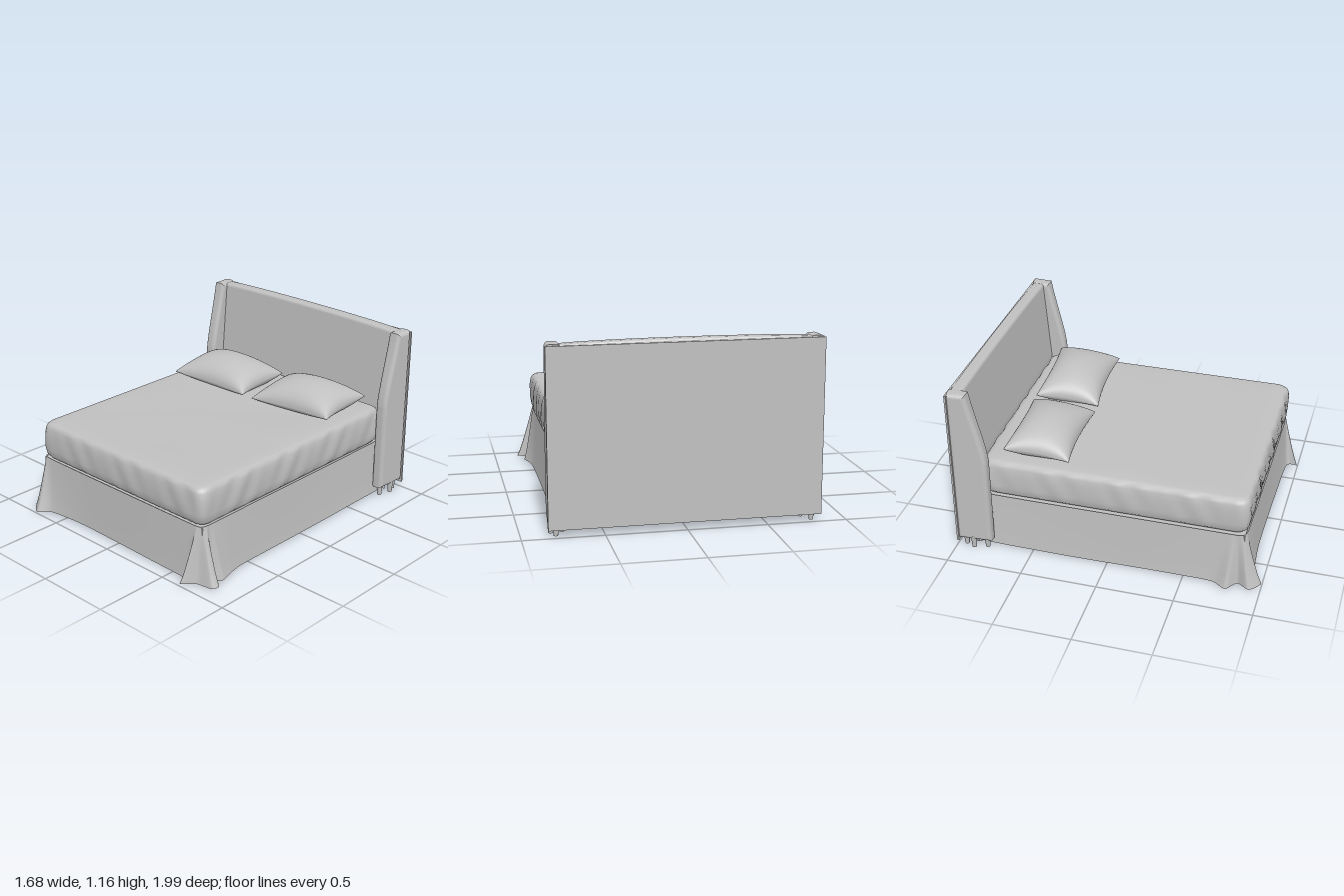
import * as THREE from 'three';
import { mergeVertices, mergeGeometries } from 'three/addons/utils/BufferGeometryUtils.js';

const fabric = new THREE.MeshStandardMaterial({ color: 0xc0c0c0 });
fabric.name = 'grey fabric';
const sheet = new THREE.MeshStandardMaterial({ color: 0xc0c0c0, side: THREE.DoubleSide });
sheet.name = 'grey cloth sheet';
const { clamp } = THREE.MathUtils;

// Smooth surface from a rule (u, v in 0..1) -> [x, y, z]
function surface(nu, nv, rule) {
  const pos = [], index = [];
  for (let j = 0; j <= nv; j++)
    for (let i = 0; i <= nu; i++) pos.push(...rule(i / nu, j / nv));
  for (let j = 0; j < nv; j++)
    for (let i = 0; i < nu; i++) {
      const a = j * (nu + 1) + i, d = a + nu + 1;
      index.push(a, a + 1, d + 1, a, d + 1, d);
    }
  let geo = new THREE.BufferGeometry();
  geo.setAttribute('position', new THREE.Float32BufferAttribute(pos, 3));
  geo.setIndex(index);
  geo = mergeVertices(geo, 1e-5);
  geo.computeVertexNormals();
  return geo;
}

// Moves every vertex of a geometry by a rule
function bend(geo, rule) {
  const p = geo.attributes.position;
  for (let i = 0; i < p.count; i++) p.setXYZ(i, ...rule(p.getX(i), p.getY(i), p.getZ(i)));
  geo.computeVertexNormals();
  return geo;
}

// Point on a rounded rectangle, u runs once round it
function roundedRect(u, w, d, r) {
  const t = ((u % 1) * 4 + 4) % 4, side = Math.floor(t), k = (t - side) * 2 - 1;
  const [x, z] = [[k * w, d], [w, -k * d], [-k * w, -d], [-w, k * d]][side];
  const cx = clamp(x, -w + r, w - r), cz = clamp(z, -d + r, d - r);
  const len = Math.hypot(x - cx, z - cz) || 1;
  return [cx + (x - cx) / len * r, cz + (z - cz) / len * r];
}

// Soft block with gathered sides and a lightly creased top
function mattressGeometry() {
  // scale, inset, height
  const rows = [[0, 0.05, 0.375], [1, 0.05, 0.375], [1, 0.022, 0.383], [1, 0.006, 0.405], [1, 0, 0.45],
    [1, 0, 0.5], [1, 0, 0.55], [1, 0.005, 0.59], [1, 0.012, 0.61], [1, 0.026, 0.623], [1, 0.05, 0.63],
    [0.9, 0.05, 0.632], [0.75, 0.05, 0.633], [0.55, 0.05, 0.633], [0.35, 0.05, 0.633], [0.15, 0.05, 0.633], [0, 0.05, 0.633]];
  const n = rows.length - 1;
  return surface(256, n, (u, v) => {
    const j = Math.round(v * n), [s, inset, y] = rows[j];
    let [x, z] = roundedRect(u, 0.735 - inset, 0.872 - inset, 0.06);
    x *= s; z *= s;
    let dy = 0;
    if (j > 2 && j < 9) {
      const onSide = Math.abs(x) > 0.7;
      const a = onSide ? z : x;
      const fold = 0.005 * Math.sin(a * 34 + y * 22) * Math.sin(a * 7 + 1);
      if (onSide) x += Math.sign(x) * fold; else z += Math.sign(z) * fold;
    } else if (j > 10) dy = 0.004 * Math.sin(z * 9 + x * 4) * Math.sin(x * 3 + 1) * Math.min(1, (1 - s) * 5);
    return [x + 0.007, y + dy, z + 0.026];
  });
}

// Hanging skirt: the hem follows its own path and folds outward at the foot corners
function skirtGeometry() {
  // hem x, hem z, top x, top z
  const side = [[0.68, -0.87, 0.68, -0.865], [0.755, -0.85, 0.725, -0.84], [0.76, -0.4, 0.73, -0.4],
    [0.757, 0.1, 0.73, 0.1], [0.762, 0.55, 0.73, 0.6]];
  const leftCorner = [[0.785, 0.7, 0.73, 0.76], [0.8, 0.775, 0.73, 0.8], [0.765, 0.84, 0.73, 0.83],
    [0.84, 0.855, 0.728, 0.85], [0.825, 0.9, 0.724, 0.868], [0.72, 0.92, 0.715, 0.88],
    [0.65, 0.998, 0.69, 0.888], [0.635, 0.925, 0.64, 0.89]];
  const rightCorner = [[0.765, 0.7, 0.73, 0.76], [0.81, 0.785, 0.73, 0.81], [0.745, 0.85, 0.73, 0.84],
    [0.785, 0.93, 0.724, 0.868], [0.7, 0.995, 0.7, 0.885], [0.62, 0.935, 0.64, 0.89]];
  const mirror = list => list.map(p => [-p[0], p[1], -p[2], p[3]]).reverse();
  const loop = [...side, ...leftCorner, [0.3, 0.912, 0.3, 0.892], [-0.3, 0.908, -0.3, 0.892],
    ...mirror(rightCorner), ...mirror(side)].reverse();
  const path = (a, b) => new THREE.CatmullRomCurve3(
    loop.map(p => new THREE.Vector3(p[a], 0, p[b])), true, 'catmullrom', 0.35);
  const hem = path(0, 1), top = path(2, 3);
  return surface(280, 8, (u, v) => {
    const p = hem.getPoint(u).lerp(top.getPoint(u), Math.pow(v, 0.85));
    return [p.x, 0.01 + 0.368 * v + 0.004 * (1 - v) * Math.sin(u * 50), p.z];
  });
}

// Pillow: a puffed top and a flattened underside meeting at a rim with pulled-out corners
function pillowGeometry() {
  const half = up => surface(36, 28, (a, b) => {
    const u = Math.sin((a - 0.5) * Math.PI), v = Math.sin((0.5 - b) * Math.PI) * up;
    const puff = Math.pow(Math.max(0, (1 - u * u) * (1 - v * v)), 0.5);
    const x = u * 0.315 * (1 - 0.09 * (1 - v * v));
    const z = v * 0.215 * (1 - 0.11 * (1 - u * u));
    const rim = -0.016 * v;
    const under = rim + (-0.045 - rim) * Math.min(1, puff * 2.2);
    return [x, up > 0 ? rim + 0.133 * Math.pow(puff, 0.9) : under, z];
  });
  return mergeGeometries([half(1), half(-1)]);
}

function add(parent, name, geo, material = fabric) {
  const mesh = new THREE.Mesh(geo, material);
  mesh.name = name;
  parent.add(mesh);
  return mesh;
}

export function createModel() {
  const bed = new THREE.Group();
  bed.name = 'bed';

  add(bed, 'mattress', mattressGeometry());
  add(bed, 'bedSkirt', skirtGeometry(), sheet);

  // Closed underside of the base, recessed inside the skirt
  const base = add(bed, 'baseUnderside', new THREE.BoxGeometry(1.45, 0.25, 1.73));
  base.position.set(0, 0.245, 0.015);

  // Pillows
  for (const [name, x, y, z, turn, roll] of [
    ['rightPillow', -0.345, 0.677, -0.495, 0.03, -0.01], ['leftPillow', 0.355, 0.68, -0.525, 0.05, 0.035]]) {
    const pillow = add(bed, name, pillowGeometry());
    pillow.position.set(x, y, z);
    pillow.rotation.set(0, turn, roll);
  }

  const headboard = new THREE.Group();
  headboard.name = 'headboard';
  bed.add(headboard);

  // Main panel with a nearly level top, its front leaning back from the mattress
  const panel = new THREE.Shape();
  panel.moveTo(-0.77, 0.08);
  for (const y of [0.08, 0.6]) panel.lineTo(0.77, y);
  panel.lineTo(0.77, 1.13);
  panel.bezierCurveTo(0.55, 1.15, -0.55, 1.15, -0.77, 1.13);
  panel.lineTo(-0.77, 0.6);
  const panelGeo = new THREE.ExtrudeGeometry(panel, {
    depth: 0.04, bevelThickness: 0.02, bevelSize: 0.02, bevelSegments: 4, curveSegments: 24,
  }).translate(0, 0, -0.965);
  add(headboard, 'headboardPanel', bend(panelGeo, (x, y, z) =>
    [x, y, z > -0.945 ? z + 0.045 * clamp((1.165 - y) / 0.55, 0, 1) : z]));

  // Thin backing sheet
  add(headboard, 'headboardBacking', new THREE.BoxGeometry(1.68, 1.1, 0.012)).position.set(0, 0.595, -0.988);

  // Tapered side wings, drawn with distance behind centre across
  const wing = new THREE.Shape();
  wing.moveTo(0.785, 0.09);
  wing.lineTo(0.785, 0.66);
  wing.bezierCurveTo(0.79, 0.76, 0.85, 0.95, 0.885, 1.13);
  wing.lineTo(0.96, 1.13);
  wing.lineTo(0.96, 0.09);
  const wingGeo = new THREE.ExtrudeGeometry(wing, {
    depth: 0.04, bevelThickness: 0.027, bevelSize: 0.025, bevelSegments: 6, curveSegments: 16,
  }).translate(0, 0, -0.02).rotateY(Math.PI / 2);

  for (const [label, s] of [['left', 1], ['right', -1]]) {
    // The outer face slopes in slightly toward the front
    add(headboard, label + 'Wing', bend(wingGeo.clone(), (x, y, z) =>
      [x * s > 0 ? x - s * 0.012 * clamp((z + 0.98) / 0.2, 0, 1) : x, y, z])).position.x = s * 0.793;
    // Small peg feet
    for (const [x, z] of [[0.79, -0.8], [0.79, -0.945], [0.745, -0.87], [0.815, -0.885]]) {
      const foot = add(headboard, label + 'Foot', new THREE.CylinderGeometry(0.02, 0.014, 0.09, 12));
      foot.position.set(s * x, 0.045, z);
    }
  }
  return bed;
}
